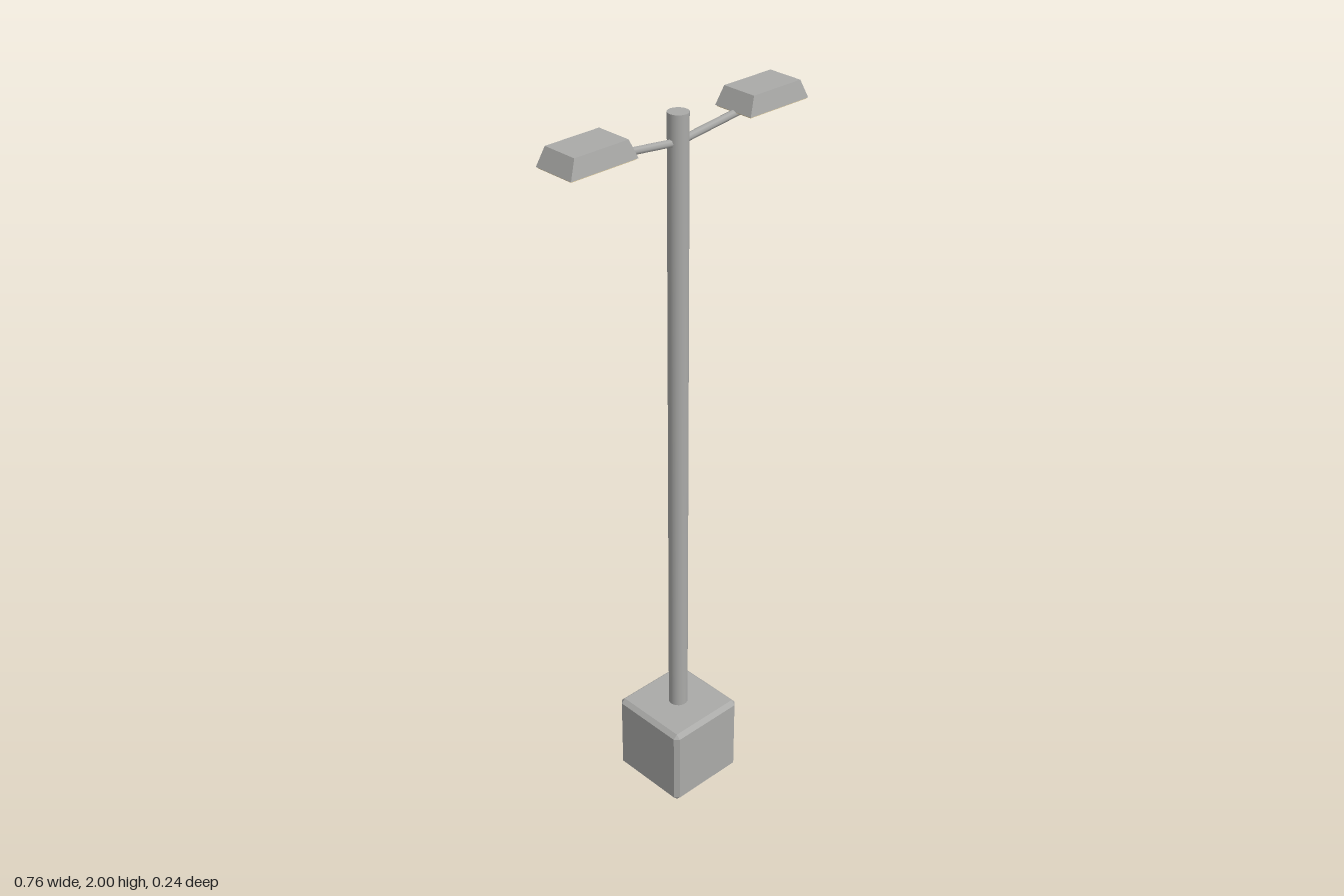
import * as THREE from 'three';
import { ConvexGeometry } from 'three/addons/geometries/ConvexGeometry.js';

const grey = new THREE.MeshStandardMaterial({ color: 0xaaaaa8 });
grey.name = 'grey metal';
const warm = new THREE.MeshStandardMaterial({ color: 0xdecb9e });
warm.name = 'warm light';

function add(parent, name, geometry, material, x = 0, y = 0, z = 0) {
  const mesh = new THREE.Mesh(geometry, material);
  mesh.name = name;
  mesh.position.set(x, y, z);
  parent.add(mesh);
  return mesh;
}

// Cube with all edges and corners chamfered
function chamferedCube(half, c) {
  const points = [];
  for (const x of [-1, 1]) for (const y of [-1, 1]) for (const z of [-1, 1]) {
    for (let axis = 0; axis < 3; axis++) {
      const p = [x, y, z].map((s, i) => s * (i === axis ? half : half - c));
      points.push(new THREE.Vector3(...p));
    }
  }
  return new ConvexGeometry(points);
}

// Lamp housing: box that narrows towards the top
function taperedBox(w, h, d, inset) {
  const points = [];
  for (const x of [-1, 1]) for (const z of [-1, 1]) {
    points.push(new THREE.Vector3(x * w / 2, 0, z * d / 2));
    points.push(new THREE.Vector3(x * (w / 2 - inset), h, z * (d / 2 - inset / 2)));
  }
  return new ConvexGeometry(points);
}

export function createModel() {
  const model = new THREE.Group();
  model.name = 'streetLamp';

  // Footing and pole
  add(model, 'base', chamferedCube(0.12, 0.012), grey, 0, 0.12);
  add(model, 'pole', new THREE.CylinderGeometry(0.027, 0.027, 1.77, 20), grey, 0, 1.115);

  // Two mirrored arms, each carrying a lamp
  for (const side of [-1, 1]) {
    const lamp = new THREE.Group();
    lamp.name = side > 0 ? 'leftLamp' : 'rightLamp';
    model.add(lamp);

    const start = new THREE.Vector3(0, 1.925, 0);
    const end = new THREE.Vector3(side * 0.28, 1.958, 0);
    const dir = end.clone().sub(start);
    const mid = start.clone().add(end).multiplyScalar(0.5);
    const arm = add(lamp, 'arm', new THREE.CylinderGeometry(0.01, 0.01, dir.length(), 8),
      grey, mid.x, mid.y, mid.z);
    arm.quaternion.setFromUnitVectors(new THREE.Vector3(0, 1, 0), dir.normalize());

    add(lamp, 'housing', taperedBox(0.2, 0.047, 0.12, 0.02), grey, side * 0.28, 1.953);
    add(lamp, 'lightPanel', new THREE.BoxGeometry(0.194, 0.004, 0.114), warm, side * 0.28, 1.952);
  }
  return model;
}
